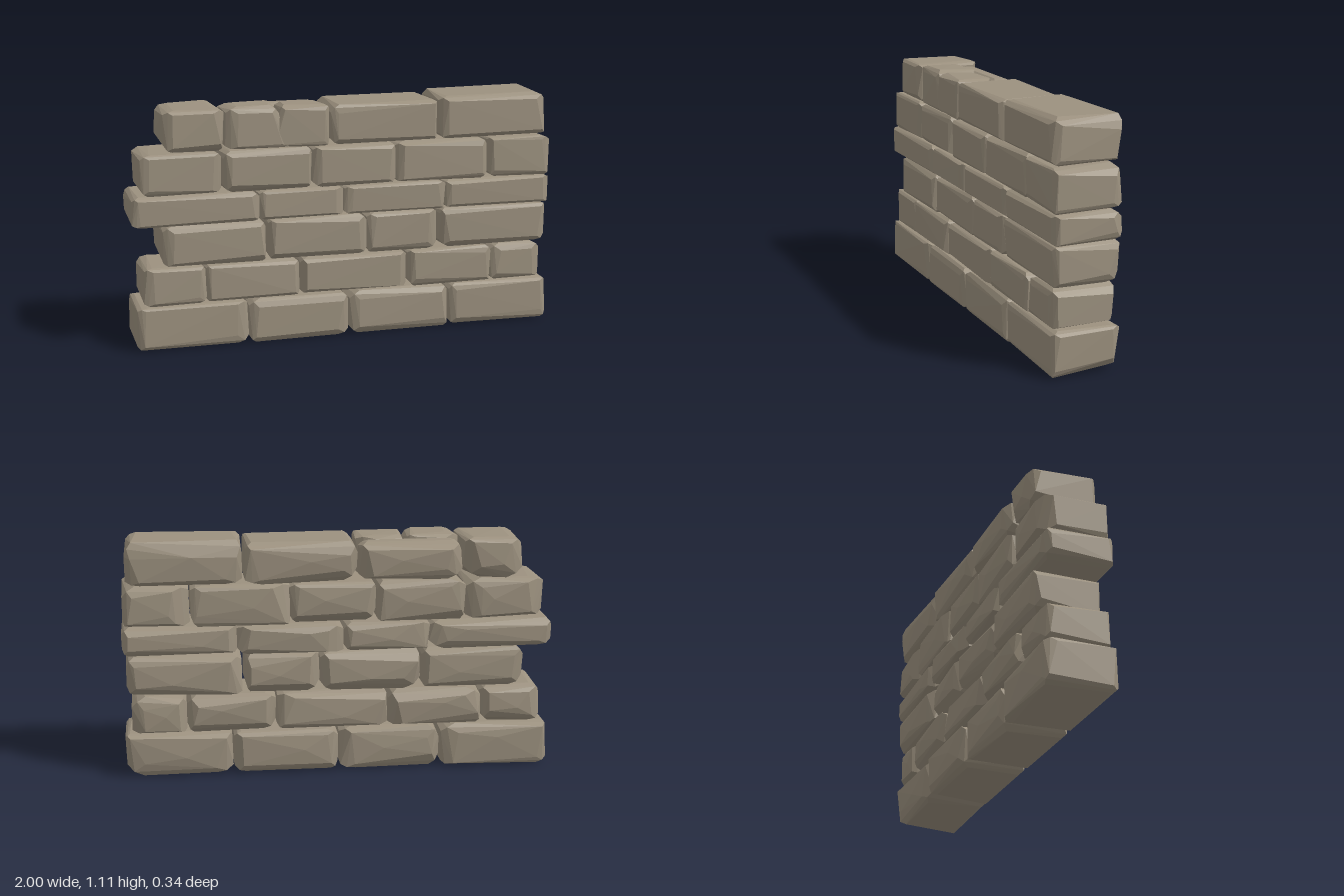
import * as THREE from 'three';
import { ConvexGeometry } from 'three/addons/geometries/ConvexGeometry.js';

const stoneMaterial = new THREE.MeshStandardMaterial({ color: 0x9c917f, flatShading: true });

// Small seeded random, so every stone is chipped the same way each time
let seed = 11;
const rnd = (a, b) => {
  seed = (seed * 16807) % 2147483647;
  return a + (b - a) * (seed / 2147483647);
};

// Rough-hewn block: each corner is chipped off by three points, one per face.
// The back corners are chipped more; cut slants the upper part of one end.
function stone(name, [x0, x1], [y0, y1], [z0, z1], cut = { left: 0, right: 0 }) {
  const points = [];
  const h = y1 - y0;
  for (const right of [0, 1]) for (const top of [0, 1]) for (const front of [0, 1]) {
    const chipX = rnd(0.02, front ? 0.055 : 0.085);
    const chipY = rnd(0.08, front ? 0.2 : 0.32) * h;
    const chipZ = rnd(0.015, front ? 0.045 : 0.07);
    const at = (dx, dy, dz) => {
      let x = right ? x1 - dx : x0 + dx;
      if (top) x += right ? -cut.right : cut.left;
      points.push(new THREE.Vector3(x, top ? y1 - dy : y0 + dy, front ? z1 - dz : z0 + dz));
    };
    const wear = () => rnd(0, 0.006);
    at(wear(), chipY, chipZ);
    at(chipX, wear(), chipZ);
    at(chipX * rnd(0.8, 1.2), chipY * rnd(0.8, 1.2), wear());
    at(chipX * 0.45, chipY * 0.45, chipZ * 0.5);
  }
  // An uneven break across the back face
  points.push(new THREE.Vector3(
    x0 + (x1 - x0) * rnd(0.3, 0.7), y0 + h * rnd(0.3, 0.7), z0 - 0.004));
  const mesh = new THREE.Mesh(new ConvexGeometry(points), stoneMaterial);
  mesh.name = name;
  return mesh;
}

// Courses from the ground up: bottom, top, and the [left, right] ends of the stones
const courses = [
  { y: [0.003, 0.212], ends: [[-0.99, -0.475], [-0.475, 0.003], [0.005, 0.497], [0.497, 0.995]] },
  { y: [0.208, 0.39], ends: [[-0.955, -0.665], [-0.67, -0.225], [-0.23, 0.295], [0.295, 0.71], [0.705, 0.965]] },
  { y: [0.385, 0.582], ends: [[-0.865, -0.385], [-0.38, 0.095], [0.09, 0.437], [0.447, 0.985]] },
  { y: [0.576, 0.715], ends: [[-1, -0.415], [-0.42, -0.015], [-0.02, 0.475], [0.465, 1]] },
  { y: [0.712, 0.908], ends: [[-0.96, -0.587], [-0.585, -0.17], [-0.17, 0.235], [0.225, 0.685], [0.685, 0.995]] },
];

export function createModel() {
  const wall = new THREE.Group();
  wall.name = 'stoneWall';

  courses.forEach(({ y, ends }, row) => {
    const course = new THREE.Group();
    course.name = `course${row + 1}`;
    ends.forEach((x, i) => {
      const z = [rnd(-0.168, -0.155), row === 0 ? 0.168 : rnd(0.156, 0.163)];
      course.add(stone(`stone${i + 1}`, x, y, z));
    });
    wall.add(course);
  });

  // Top course; its second block is cracked into two front pieces and a back slab
  const cap = new THREE.Group();
  cap.name = 'topCourse';
  const z = [-0.165, 0.162];
  cap.add(
    stone('capStone1', [-0.85, -0.575], [0.905, 1.1], z),
    stone('crackedStoneLeft', [-0.57, -0.26], [0.905, 1.105], [-0.05, 0.162], { left: 0, right: 0.06 }),
    stone('crackedStoneRight', [-0.38, -0.085], [0.905, 1.1], [-0.05, 0.16], { left: 0.06, right: 0 }),
    stone('crackedStoneBack', [-0.57, -0.09], [0.905, 1.085], [-0.165, -0.03]),
    stone('capStone3', [-0.085, 0.435], [0.905, 1.095], z),
    stone('capStone4', [0.44, 0.975], [0.905, 1.11], z),
  );
  wall.add(cap);
  return wall;
}
